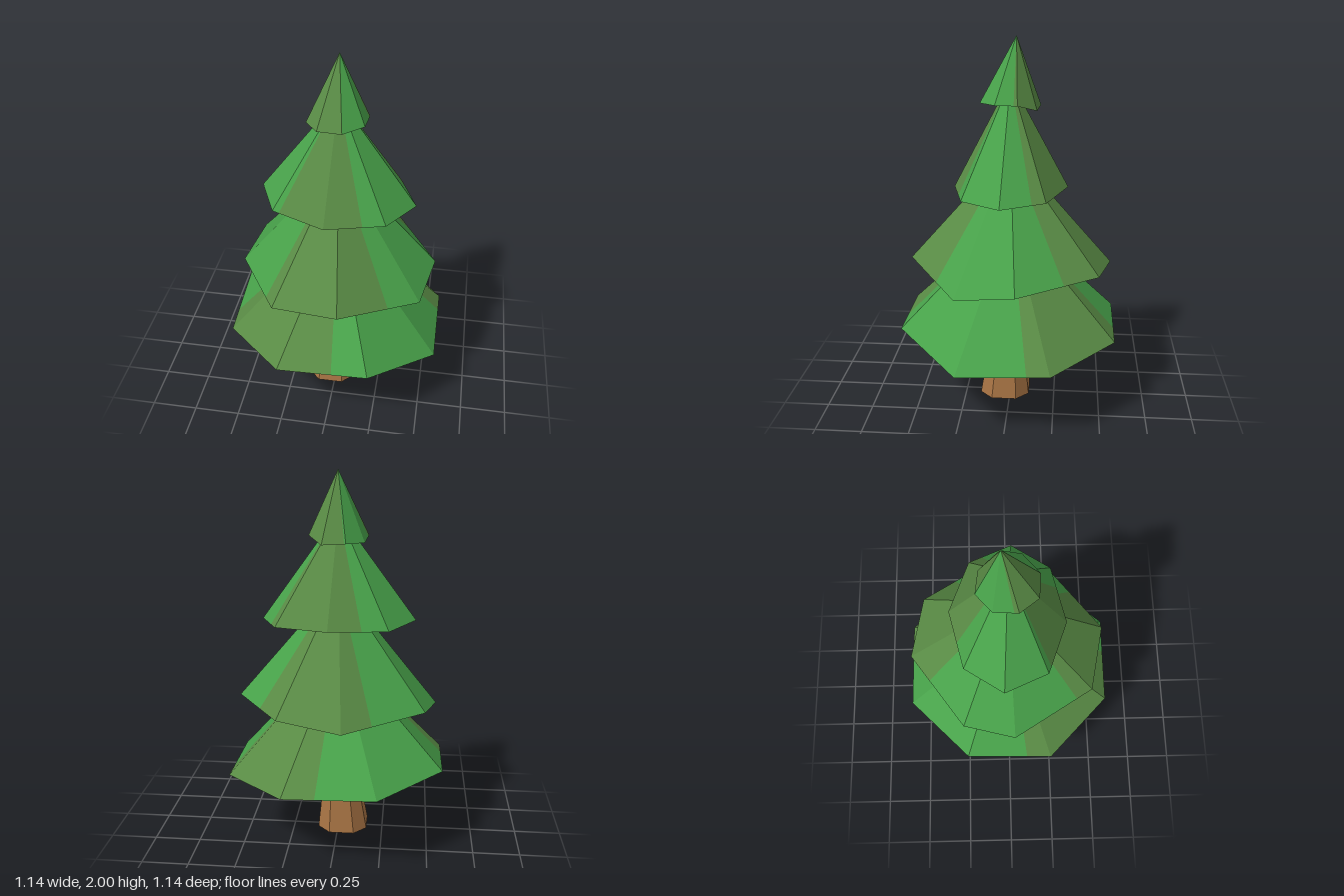
import * as THREE from 'three';

const mat = (name, color) => {
  const m = new THREE.MeshStandardMaterial({ color });
  m.name = name;
  return m;
};

// Mesh from a flat list of triangle corners; unshared corners give flat facets
function facets(name, points, material) {
  const geo = new THREE.BufferGeometry().setFromPoints(points);
  geo.computeVertexNormals();
  const mesh = new THREE.Mesh(geo, material);
  mesh.name = name;
  return mesh;
}

const angleOf = (p) => (Math.atan2(p.z, p.x) * 180 / Math.PI + 360) % 360;

// Split the rim edges where a colour boundary (degrees about the trunk) crosses them
function splitRim(rim, cuts) {
  const out = [];
  rim.forEach((a, i) => {
    const b = rim[(i + 1) % rim.length];
    const start = angleOf(a);
    const span = (angleOf(b) - start + 360) % 360;
    out.push(a);
    cuts.map((c) => [(c - start + 720) % 360, c])
      .filter(([d]) => d > 0.01 && d < span - 0.01)
      .sort((p, q) => p[0] - q[0])
      .forEach(([, c]) => {
        const dx = Math.cos(c * Math.PI / 180), dz = Math.sin(c * Math.PI / 180);
        const sa = a.x * dz - a.z * dx, sb = b.x * dz - b.z * dx;
        out.push(a.clone().lerp(b, sa / (sa - sb)));
      });
  });
  return out;
}

// Rims are [x, y, z] corners running from +x towards +z.
// cuts: olive lies between cuts 0-1 and 2-3, green between the others.
const TIERS = [
  { name: 'lowestBranches', apex: [0, 1.06, 0], under: 0.5, cuts: [-83, -12, 85, 170],
    rim: [[0.57, 0.38, 0.24], [0.24, 0.48, 0.57], [-0.24, 0.465, 0.57], [-0.57, 0.41, 0.24],
      [-0.57, 0.47, -0.24], [-0.24, 0.45, -0.57], [0.24, 0.44, -0.57], [0.57, 0.4, -0.24]] },
  { name: 'lowerBranches', apex: [0, 1.42, 0], under: 0.85, cuts: [-115, -38, 49, 131],
    rim: [[0.47, 0.755, 0.25], [0.075, 0.83, 0.53], [-0.275, 0.795, 0.46], [-0.53, 0.755, 0.03],
      [-0.47, 0.8, -0.25], [-0.06, 0.785, -0.545], [0.27, 0.82, -0.475], [0.53, 0.8, -0.06]] },
  { name: 'upperBranches', apex: [0, 1.78, 0], under: 1.26, cuts: [-118, -21, 58, 142],
    rim: [[0.41, 1.21, 0.025], [0.275, 1.21, 0.23], [-0.03, 1.205, 0.303], [-0.31, 1.22, 0.2],
      [-0.41, 1.23, -0.025], [-0.275, 1.22, -0.23], [0.03, 1.23, -0.305], [0.31, 1.22, -0.2]] },
  { name: 'topBranches', apex: [0, 2, -0.03], under: 1.68, cuts: [-105, -10, 75, 170],
    rim: [[0.14, 1.67, 0.07], [0.04, 1.665, 0.155], [-0.085, 1.665, 0.145], [-0.155, 1.66, 0.05],
      [-0.14, 1.64, -0.075], [-0.05, 1.645, -0.155], [0.075, 1.635, -0.14], [0.15, 1.67, -0.045]] },
];

function makeTier({ name, apex, under, cuts, rim }, green, olive) {
  const group = new THREE.Group();
  group.name = name;
  const tip = new THREE.Vector3(...apex);
  const core = new THREE.Vector3(0, under, 0);
  const ring = splitRim(rim.map((p) => new THREE.Vector3(...p)), cuts);
  const tris = { green: [], olive: [] };
  ring.forEach((a, i) => {
    const b = ring[(i + 1) % ring.length];
    const mid = angleOf(a.clone().add(b));
    const within = (lo, hi) => (mid - lo + 720) % 360 < hi - lo;
    const isOlive = within(cuts[0], cuts[1]) || within(cuts[2], cuts[3]);
    // sloping top, then underside
    tris[isOlive ? 'olive' : 'green'].push(b, a, tip, a, b, core);
  });
  group.add(facets(name + 'Green', tris.green, green));
  group.add(facets(name + 'Olive', tris.olive, olive));
  return group;
}

function makeTrunk(bark, green) {
  const group = new THREE.Group();
  group.name = 'trunk';
  const octagon = [[1, 0.5], [0.5, 1], [-0.5, 1], [-1, 0.5], [-1, -0.5], [-0.5, -1], [0.5, -1], [1, -0.5]];
  // height, centre x, centre z, half width
  const rings = [[0, -0.025, 0.03, 0.136], [0.28, -0.015, 0.022, 0.098], [0.56, 0, 0, 0.046]]
    .map(([y, cx, cz, r]) => octagon.map(([x, z]) => new THREE.Vector3(cx + x * r, y, cz + z * r)));
  const sides = [], base = [];
  const centre = new THREE.Vector3(-0.025, 0, 0.03);
  for (let i = 0; i < 8; i++) {
    const j = (i + 1) % 8;
    for (let k = 0; k < 2; k++) {
      const [lo, hi] = [rings[k], rings[k + 1]];
      sides.push(lo[j], lo[i], hi[i], lo[j], hi[i], hi[j]);
    }
    base.push(rings[0][i], rings[0][j], centre);
  }
  group.add(facets('trunkBark', sides, bark), facets('trunkBase', base, green));
  return group;
}

export function createModel() {
  const green = mat('leafGreen', 0x48a24a);
  const olive = mat('oliveGreen', 0x598b45);
  const bark = mat('barkBrown', 0xa87444);
  const tree = new THREE.Group();
  tree.name = 'tree';
  tree.add(makeTrunk(bark, green));
  TIERS.forEach((t) => tree.add(makeTier(t, green, olive)));
  return tree;
}
